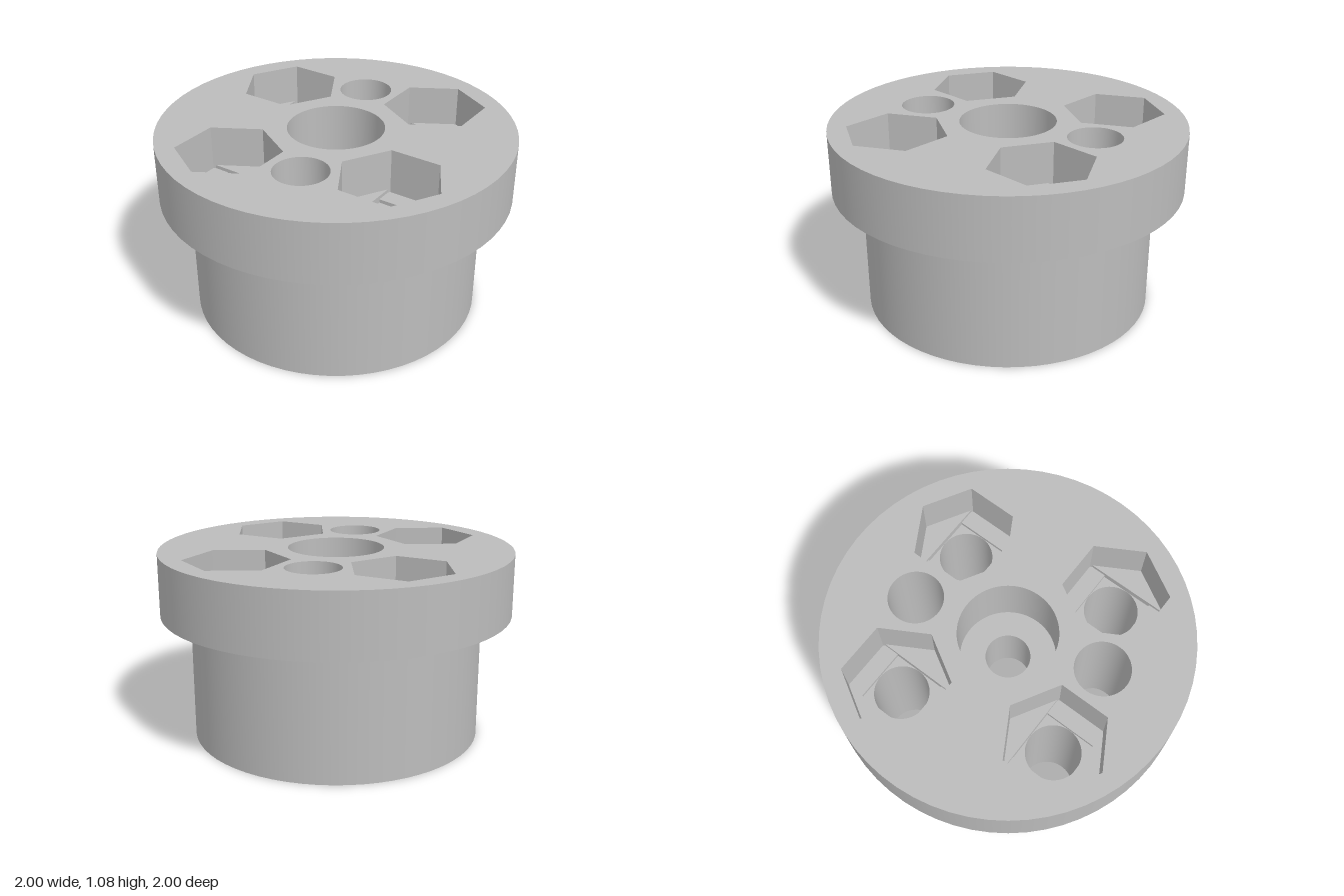
import * as THREE from 'three';
import { mergeGeometries } from 'three/addons/utils/BufferGeometryUtils.js';

const H = 1.078, SEG = 64;
const HOLE_R = 0.152;               // screw holes
const HEX_R = 0.2915;               // nut pockets, corner radius
const HEX_A = HEX_R * Math.cos(Math.PI / 6);
const OUTER = 0.63, INNER = 0.535;  // pitch radii of the two hole patterns
const OUTER_ANGLES = [0, 90, 180, 270], INNER_ANGLES = [45, 225];

const rad = (d) => d * Math.PI / 180;
const V = (x, y) => new THREE.Vector2(x, y);

// Regular polygon as a counter-clockwise list of points
function polygon(n, r, cx = 0, cy = 0, start = 0) {
  return Array.from({ length: n }, (_, i) => {
    const a = start + i / n * Math.PI * 2;
    return V(cx + r * Math.cos(a), cy + r * Math.sin(a));
  });
}

// Flat face looking up at height y, or looking down when down is true
function face(points, y, holes = [], down = false) {
  const shape = new THREE.Shape(points);
  shape.holes = holes.map((h) => new THREE.Path(h));
  const g = new THREE.ShapeGeometry(shape).rotateX(down ? Math.PI / 2 : -Math.PI / 2);
  g.translate(0, y, 0).deleteAttribute('uv');
  return g.toNonIndexed();
}

// Vertical walls of a recess with this outline, facing inward
function recess(points, low, high) {
  const pos = [];
  points.forEach((a, i) => {
    const b = points[(i + 1) % points.length];
    const a0 = [a.x, low, -a.y], a1 = [a.x, high, -a.y];
    const b0 = [b.x, low, -b.y], b1 = [b.x, high, -b.y];
    pos.push(...a0, ...a1, ...b1, ...a0, ...b1, ...b0);
  });
  const g = new THREE.BufferGeometry();
  g.setAttribute('position', new THREE.Float32BufferAttribute(pos, 3));
  g.computeVertexNormals();
  return g;
}

// Revolved profile with a sharp edge at every point; solid lies left of the path
function turned(profile) {
  return mergeGeometries(profile.slice(1).map((p, i) =>
    new THREE.LatheGeometry([V(...profile[i]), V(...p)], SEG)));
}

// Hex nut pocket with its mouth at y = 0: hex, then a slot, then a square, then the round hole
function pocketGeometry(depth) {
  const step = 0.02, h = HOLE_R + 0.001;
  const u = HEX_A * (HEX_R - h) / (HEX_R / 2);
  const half = HEX_R / 2;
  const hex = polygon(6, HEX_R, 0, 0, Math.PI / 6);
  const slot = [V(HEX_A, -half), V(HEX_A, half), V(u, h), V(-u, h),
    V(-HEX_A, half), V(-HEX_A, -half), V(-u, -h), V(u, -h)];
  const square = [V(h, -h), V(h, h), V(-h, h), V(-h, -h)];
  const ledge = [V(u, h), V(0, HEX_R), V(-u, h)];
  const slotEnd = [V(h, -h), V(u, -h), V(HEX_A, -half), V(HEX_A, half), V(u, h), V(h, h)];
  const opposite = (pts) => pts.map((p) => V(-p.x, -p.y));
  const y1 = -depth, y2 = y1 - step, y3 = y2 - step;
  return mergeGeometries([
    recess(hex, y1, 0), face(ledge, y1), face(opposite(ledge), y1),
    recess(slot, y2, y1), face(slotEnd, y2), face(opposite(slotEnd), y2),
    recess(square, y3, y2), face(square, y3, [polygon(SEG, HOLE_R)]),
  ]);
}

export function createModel() {
  const model = new THREE.Group();
  const grey = new THREE.MeshStandardMaterial({ color: 0xbcbcbc });
  grey.name = 'grey plastic';
  const add = (name, geometry, parent = model) => {
    const mesh = new THREE.Mesh(geometry, grey);
    mesh.name = name;
    parent.add(mesh);
    return mesh;
  };

  // Outer skin
  add('body', turned([[0.83, 0], [0.83, 0.705]]));
  add('stepRing', turned([[0.83, 0.705], [0.92, 0.705], [0.92, 0.725]]));
  add('flange', turned([[0.92, 0.725], [1, 0.725], [1, H]]));

  // Central bore: bearing seat above, chamfered seat below, narrow hole between
  add('centralBore', turned([[0.272, H], [0.272, 0.72], [0.127, 0.72],
    [0.127, 0.36], [0.25, 0.36], [0.25, 0.03], [0.278, 0]]));

  // End faces; the lower one is drawn mirrored because it is seen from below
  const cuts = (angles, r, n, size, sign) => angles.map((d) => {
    const a = sign * rad(d);
    return polygon(n, size, r * Math.cos(a), r * Math.sin(a), a + Math.PI / 2);
  });
  add('topFace', face(polygon(SEG, 1), H, [
    polygon(SEG, 0.272),
    ...cuts(OUTER_ANGLES, OUTER, 6, HEX_R, 1),
    ...cuts(INNER_ANGLES, INNER, SEG, HOLE_R, 1),
  ]));
  add('bottomFace', face(polygon(SEG, 0.83), 0, [
    polygon(SEG, 0.278),
    ...cuts(OUTER_ANGLES, OUTER, SEG, HOLE_R, -1),
    ...cuts(INNER_ANGLES, INNER, 6, HEX_R, -1),
  ], true));

  // Nut pockets with their screw holes: four open upward, two open downward
  function pockets(angles, r, depth, fromBelow) {
    const pocket = pocketGeometry(depth);
    const hole = turned([[HOLE_R, -depth - 0.04], [HOLE_R, -H]]);
    for (const d of angles) {
      const group = new THREE.Group();
      group.name = fromBelow ? 'lowerNutSeat' : 'upperNutSeat';
      group.position.set(r * Math.cos(rad(d)), fromBelow ? 0 : H, -r * Math.sin(rad(d)));
      group.rotation.set(fromBelow ? Math.PI : 0, rad(d - 60), 0, 'YXZ');
      add('nutPocket', pocket, group);
      add('screwHole', hole, group);
      model.add(group);
    }
  }
  pockets(OUTER_ANGLES, OUTER, 0.235, false);
  pockets(INNER_ANGLES, INNER, 0.28, true);

  return model;
}
